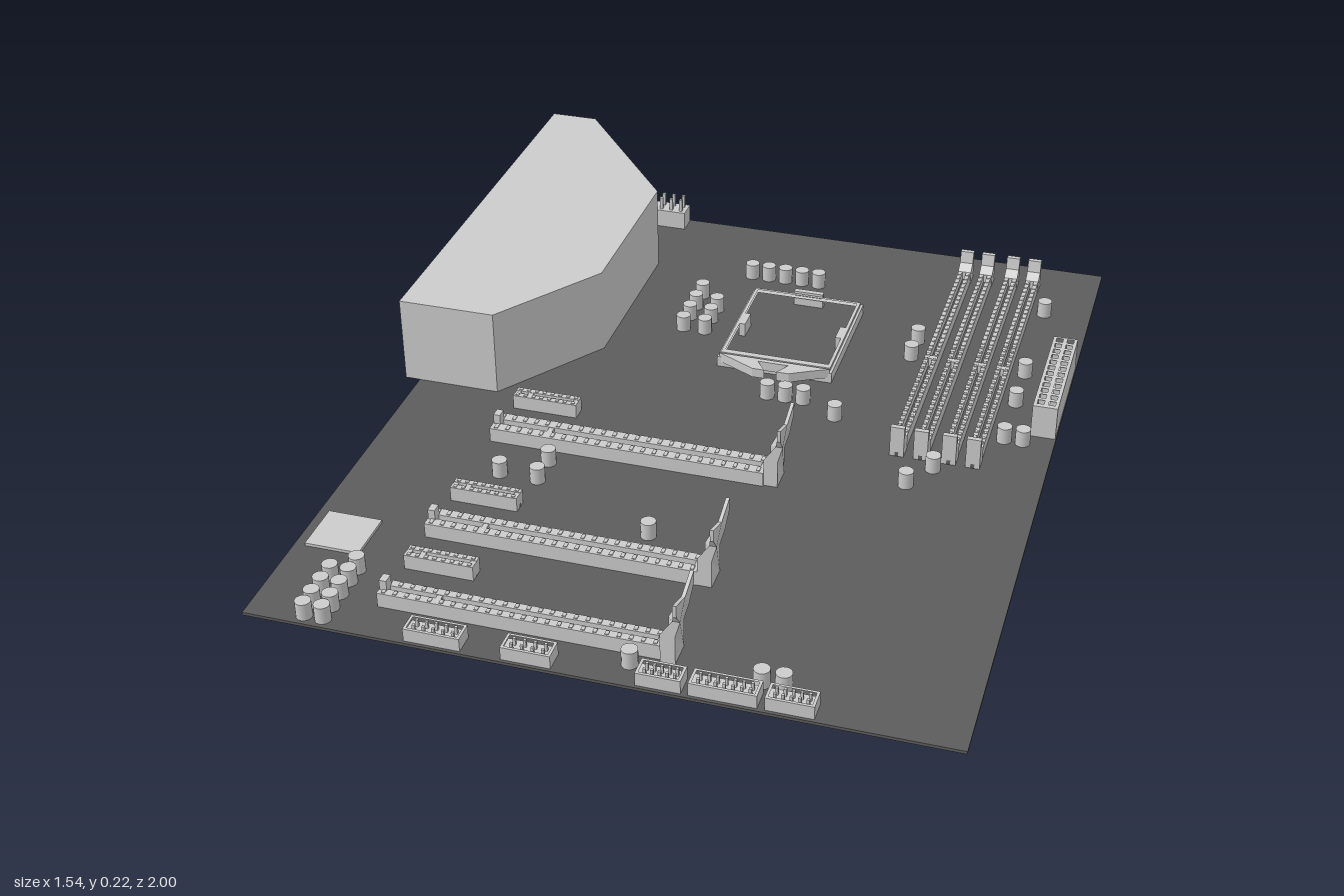
import * as THREE from 'three';

const TOP = 0.007; // upper face of the board
const grey = new THREE.MeshStandardMaterial({ color: 0xcccccc, flatShading: true });
const smooth = new THREE.MeshStandardMaterial({ color: 0xcccccc });
const dark = new THREE.MeshStandardMaterial({ color: 0x5c5c5c, flatShading: true });

function add(parent, name, geometry, material = grey) {
  const mesh = new THREE.Mesh(geometry, material);
  mesh.name = name;
  parent.add(mesh);
  return mesh;
}

function group(parent, name) {
  const g = new THREE.Group();
  g.name = name;
  parent.add(g);
  return g;
}

// Box given by its limits
function box(parent, name, x0, x1, y0, y1, z0, z1, material) {
  const g = new THREE.BoxGeometry(x1 - x0, y1 - y0, z1 - z0);
  g.translate((x0 + x1) / 2, (y0 + y1) / 2, (z0 + z1) / 2);
  return add(parent, name, g, material);
}

const rect = (x0, x1, z0, z1) => [[x0, z0], [x1, z0], [x1, z1], [x0, z1]];

// Plan outline of [x, z] points, with holes, raised from y0 to y1
function slab(parent, name, outline, y0, y1, holes = []) {
  const pts = (list) => list.map(([x, z]) => new THREE.Vector2(x, -z));
  const shape = new THREE.Shape(pts(outline));
  holes.forEach((h) => shape.holes.push(new THREE.Path(pts(h))));
  const g = new THREE.ExtrudeGeometry(shape, { depth: y1 - y0, bevelEnabled: false });
  g.rotateX(-Math.PI / 2);
  g.translate(0, y0, 0);
  return add(parent, name, g);
}

// Side outline of [z, y] points, extruded from x0 to x1
function sideSlab(parent, name, outline, x0, x1) {
  const shape = new THREE.Shape(outline.map(([z, y]) => new THREE.Vector2(-z, y)));
  const g = new THREE.ExtrudeGeometry(shape, { depth: x1 - x0, bevelEnabled: false });
  g.rotateY(Math.PI / 2);
  g.translate(x0, 0, 0);
  return add(parent, name, g);
}

// Grid of upright pins inside a rectangle
function pins(parent, x0, x1, z0, z1, nx, nz, y0, y1, r = 0.004) {
  for (let i = 0; i < nx; i++) for (let j = 0; j < nz; j++) {
    const x = x0 + (x1 - x0) * (i + 0.5) / nx, z = z0 + (z1 - z0) * (j + 0.5) / nz;
    box(parent, 'pin', x - r, x + r, y0, y1, z - r, z + r);
  }
}

// Card slot along x: two rails, floor and contact bridges
function cardSlot(parent, name, x0, x1, z0, z1, teeth) {
  const g = group(parent, name), w = (z1 - z0) * 0.38, h = 0.042;
  box(g, 'rail', x0, x1, TOP, h, z0, z0 + w);
  box(g, 'rail', x0, x1, TOP, h, z1 - w, z1);
  box(g, 'slotFloor', x0, x1, TOP, 0.016, z0 + w, z1 - w, dark);
  [x0, x0 + (x1 - x0) * 0.2, x1 - 0.012].forEach((x) =>
    box(g, 'slotBridge', x, x + 0.012, TOP, h - 0.001, z0 + w, z1 - w));
  for (let i = 0; i < teeth; i++) {
    const x = x0 + (x1 - x0) * (i + 0.5) / teeth;
    for (const z of [z0 + w / 2, z1 - w / 2])
      box(g, 'contact', x - 0.004, x + 0.004, h, h + 0.002, z - w * 0.3, z + w * 0.3);
  }
  return g;
}

// Y-shaped retention clip, leaning toward +x as it rises
function cardLatch(parent, x, zc) {
  const half = [[0.03, TOP], [0.03, 0.075], [0.03, 0.115], [0.06, 0.15], [0.06, 0.178]];
  const outline = [...half, [0, 0.157], ...half.map(([z, y]) => [-z, y]).reverse()];
  const mesh = sideSlab(parent, 'cardLatch', outline, 0, 1);
  const p = mesh.geometry.attributes.position;
  for (let i = 0; i < p.count; i++) {
    const y = p.getY(i);
    const lean = y < 0.08 ? 0 : y < 0.12 ? 0.027 : 0.037;
    const thick = y < 0.08 ? 0.032 : y < 0.12 ? 0.016 : 0.008;
    p.setX(i, lean + thick * p.getX(i));
  }
  mesh.geometry.computeVertexNormals();
  mesh.position.set(x, 0, zc);
}

export function createModel() {
  const model = new THREE.Group();
  model.name = 'circuitBoard';

  // Board and rear port cover
  box(model, 'board', -0.74, 0.77, 0, TOP, -0.89, 1, dark);
  slab(model, 'portCover', [[-0.775, -1], [-0.655, -1], [-0.36, -0.635], [-0.36, -0.19],
    [-0.54, 0.07], [-0.775, 0.07]], 0.008, 0.22);

  // Processor socket: frame, side tabs and lever plate
  const socket = group(model, 'processorSocket');
  slab(socket, 'socketFrame', rect(-0.07, 0.215, -0.53, -0.19), TOP, 0.034,
    [rect(-0.056, 0.201, -0.516, -0.216)]);
  slab(socket, 'loadFrame', rect(-0.064, 0.209, -0.524, -0.2), 0.034, 0.042,
    [rect(-0.056, 0.201, -0.516, -0.216)]);
  box(socket, 'sideTab', -0.058, -0.042, TOP, 0.042, -0.395, -0.342);
  box(socket, 'sideTab', 0.187, 0.203, TOP, 0.042, -0.395, -0.342);
  box(socket, 'rearHinge', 0.035, 0.11, TOP, 0.046, -0.542, -0.528);
  slab(socket, 'leverPlate', [[-0.065, -0.192], [0.21, -0.192], [0.165, -0.17], [0.12, -0.145],
    [0.09, -0.145], [0.11, -0.18], [0.035, -0.18], [0.06, -0.145], [0.03, -0.145], [-0.02, -0.17]],
  0.02, 0.044);

  // Memory slots with sloped end latches
  for (const x of [0.415, 0.47, 0.535, 0.59]) {
    const slot = group(model, 'memorySlot');
    const z0 = -0.795, z1 = 0.07, w = 0.031;
    box(slot, 'rail', x, x + 0.011, TOP, 0.04, z0, z1);
    box(slot, 'rail', x + w - 0.011, x + w, TOP, 0.04, z0, z1);
    box(slot, 'slotFloor', x + 0.011, x + w - 0.011, TOP, 0.018, z0, z1, dark);
    box(slot, 'slotKey', x + 0.011, x + w - 0.011, TOP, 0.039, -0.33, -0.315);
    for (let i = 0; i < 36; i++) {
      const z = z0 + 0.05 + i * 0.0215;
      for (const s of [0.002, w - 0.009])
        box(slot, 'contact', x + s, x + s + 0.007, 0.04, 0.042, z, z + 0.009);
    }
    for (const [end, d] of [[z0, 1], [z1, -1]]) {
      sideSlab(slot, 'memoryLatch', [[end, TOP], [end, 0.084], [end + d * 0.012, 0.084],
        [end + d * 0.018, 0.055], [end + d * 0.04, 0.04], [end + d * 0.04, TOP]], x - 0.001, x + w + 0.001);
    }
  }

  // Long card slots with latches
  for (const [zc, half, end] of [[0.235, 0.035, 0.17], [0.623, 0.031, 0.132], [0.88, 0.025, 0.132]]) {
    const slot = cardSlot(model, 'longCardSlot', -0.48, end, zc - half, zc + half, 24);
    box(slot, 'endPost', -0.478, -0.462, TOP, 0.066, zc - 0.012, zc + 0.012);
    cardLatch(slot, end, zc);
  }

  // Short card slots
  for (const z of [0.086, 0.475, 0.732]) cardSlot(model, 'shortCardSlot', -0.478, -0.322, z, z + 0.038, 8);

  // Main power connector with two rows of sockets
  const holes = [];
  for (let i = 0; i < 12; i++) for (const x of [0.718, 0.744]) {
    const z = -0.41 + i * 0.0258;
    holes.push(rect(x, x + 0.016, z, z + 0.016));
  }
  slab(model, 'mainPowerConnector', rect(0.71, 0.768, -0.417, -0.098), 0.03, 0.09, holes);
  box(model, 'mainPowerBase', 0.71, 0.768, TOP, 0.03, -0.417, -0.098);

  // Processor power connector
  const power = group(model, 'processorPowerConnector');
  box(power, 'connectorBody', -0.458, -0.35, TOP, 0.055, -0.885, -0.835);
  pins(power, -0.458, -0.35, -0.885, -0.835, 4, 2, 0.055, 0.088);

  // Chipset
  box(model, 'chipset', -0.715, -0.59, TOP, 0.014, 0.632, 0.755);

  // Front edge headers: x range and pin columns
  for (const [x0, x1, n] of [[-0.385, -0.263, 5], [-0.176, -0.07, 4], [0.106, 0.2, 5],
    [0.215, 0.355, 7], [0.37, 0.47, 5]]) {
    const header = group(model, 'edgeHeader');
    box(header, 'headerBase', x0, x1, TOP, 0.024, 0.945, 0.993);
    slab(header, 'headerWall', rect(x0, x1, 0.945, 0.993), 0.024, 0.038,
      [rect(x0 + 0.006, x1 - 0.006, 0.951, 0.987)]);
    pins(header, x0 + 0.008, x1 - 0.008, 0.951, 0.987, n, 2, 0.024, 0.042, 0.003);
  }

  // Capacitors, as [x, z]
  const spots = [[-0.2, -0.505], [-0.2, -0.447], [-0.145, -0.447], [-0.2, -0.393], [-0.145, -0.393],
    [-0.2, -0.337], [-0.145, -0.337], [0.375, -0.437], [0.375, -0.357], [0.082, -0.092], [0.126, -0.092],
    [0.17, -0.092], [0.258, -0.045], [0.655, -0.653], [0.655, -0.355], [0.655, -0.222], [0.655, -0.062],
    [0.698, -0.062], [0.521, 0.1], [0.475, 0.177], [-0.32, 0.316], [-0.41, 0.388], [-0.32, 0.388],
    [-0.018, 0.517], [-0.57, 0.803], [0.077, 0.935], [0.345, 0.92], [0.39, 0.92]];
  for (let i = 0; i < 5; i++) spots.push([-0.104 + i * 0.044, -0.638]);
  for (const z of [0.845, 0.89, 0.934, 0.974]) spots.push([-0.612, z], [-0.57, z]);
  const can = new THREE.CylinderGeometry(0.0175, 0.0175, 0.04, 16);
  for (const [x, z] of spots) add(model, 'capacitor', can, smooth).position.set(x, TOP + 0.02, z);

  return model;
}
